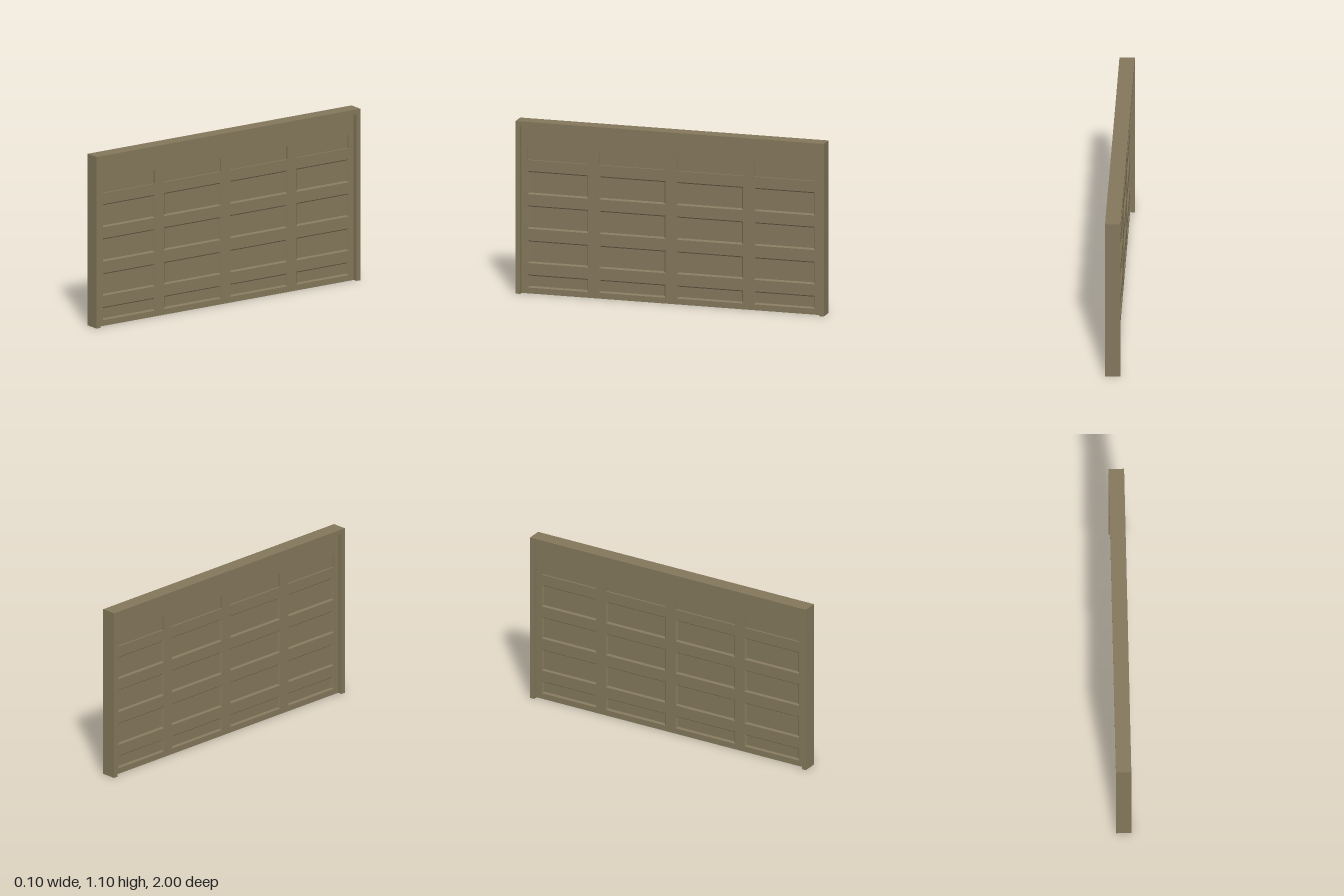
import * as THREE from 'three';

const H = 1.1, HALF_DEPTH = 0.048, FRAME = 0.03;   // surround
const FACE = 0.019, RECESS = 0.012, SLOPE = 0.009; // door leaf half thickness and panel relief
const COLS = [[-0.932, -0.538], [-0.467, -0.037], [0.037, 0.467], [0.538, 0.932]];
const ROWS = [
  [0.037, 0.12, true], [0.193, 0.337, true], [0.412, 0.56, true],
  [0.632, 0.78, true], [0.85, 0.937, false],       // top row has straight walls
];

function rectPath(Type, x0, x1, y0, y1) {
  const p = new Type();
  p.moveTo(x0, y0);
  p.lineTo(x1, y0);
  p.lineTo(x1, y1);
  p.lineTo(x0, y1);
  p.closePath();
  return p;
}

// Four sloping walls from the rim of a panel down to its floor
function slopedWalls(x0, x1, y0, y1) {
  const ring = (d, z) => [[x0 + d, y0 + d, z], [x1 - d, y0 + d, z], [x1 - d, y1 - d, z], [x0 + d, y1 - d, z]];
  const rim = ring(0, FACE), floor = ring(SLOPE, FACE - RECESS);
  const pos = [];
  for (let i = 0; i < 4; i++) {
    const j = (i + 1) % 4;
    pos.push(...rim[i], ...rim[j], ...floor[j], ...rim[i], ...floor[j], ...floor[i]);
  }
  const g = new THREE.BufferGeometry();
  g.setAttribute('position', new THREE.Float32BufferAttribute(pos, 3));
  g.computeVertexNormals();
  return g;
}

export function createModel() {
  const model = new THREE.Group();
  model.name = 'garageDoor';
  const paint = new THREE.MeshStandardMaterial({ color: 0x82765a });
  paint.name = 'taupe paint';

  const add = (parent, name, geometry) => {
    const m = new THREE.Mesh(geometry, paint);
    m.name = name;
    parent.add(m);
    return m;
  };

  // Surround: one inverted U across the whole depth
  const u = new THREE.Shape();
  const i = 1 - FRAME;
  [[-1, 0], [-i, 0], [-i, H - FRAME], [i, H - FRAME], [i, 0], [1, 0], [1, H], [-1, H]]
    .forEach(([x, y], n) => (n ? u.lineTo(x, y) : u.moveTo(x, y)));
  const surround = new THREE.ExtrudeGeometry(u, { depth: HALF_DEPTH * 2, bevelEnabled: false });
  surround.translate(0, 0, -HALF_DEPTH);
  surround.rotateY(Math.PI / 2);
  add(model, 'surround', surround);

  // Core of the leaf, forming the panel floors
  const core = add(model, 'leafCore', new THREE.BoxGeometry((FACE - RECESS) * 2, H - FRAME, i * 2));
  core.position.y = (H - FRAME) / 2;

  // Panelled face on both sides
  for (const side of [1, -1]) {
    const face = new THREE.Group();
    face.name = side > 0 ? 'leftFace' : 'rightFace';
    face.rotation.y = side * Math.PI / 2;
    model.add(face);

    const sheet = rectPath(THREE.Shape, -i, i, 0, H - FRAME);
    for (const [y0, y1, sloped] of ROWS) {
      for (const [x0, x1] of COLS) {
        sheet.holes.push(rectPath(THREE.Path, x0, x1, y0, y1));
        if (sloped) add(face, 'panelMoulding', slopedWalls(x0, x1, y0, y1));
      }
    }
    const g = new THREE.ExtrudeGeometry(sheet, { depth: RECESS, bevelEnabled: false });
    g.translate(0, 0, FACE - RECESS);
    add(face, 'panelGrid', g);
  }
  return model;
}
